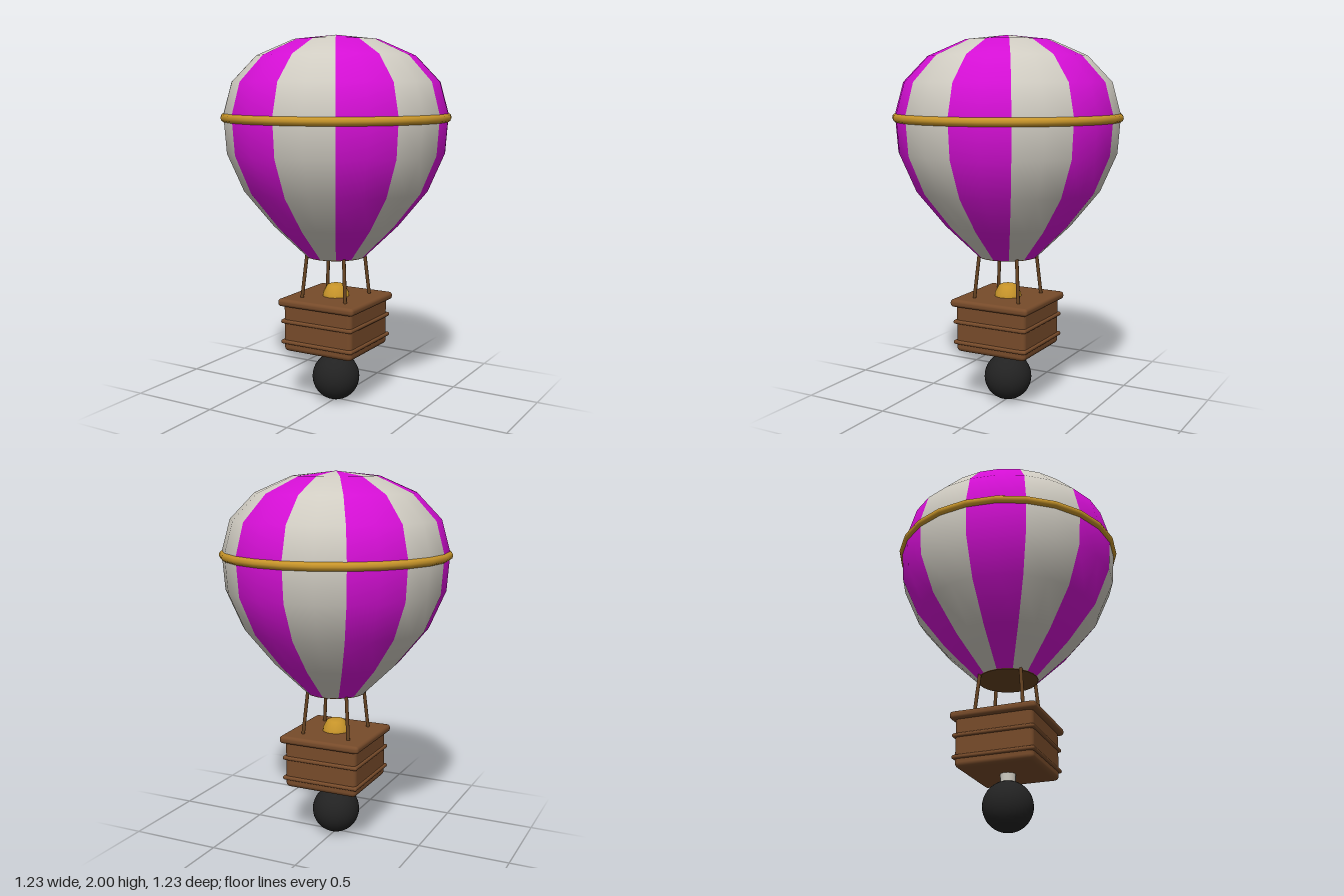
import * as THREE from 'three';
import { RoundedBoxGeometry } from 'three/addons/geometries/RoundedBoxGeometry.js';

const paint = (name, color) => {
  const m = new THREE.MeshStandardMaterial({ color });
  m.name = name;
  return m;
};

export function createModel() {
  const magenta = paint('magenta', 0xd40fd4);
  const cream = paint('cream', 0xd0ccc2);
  const gold = paint('gold', 0xc8952a);
  const wicker = paint('wicker brown', 0x774b2a);
  const rope = paint('rope brown', 0x664322);
  const black = paint('black', 0x222222);

  const model = new THREE.Group();
  model.name = 'hotAirBalloon';
  const add = (name, geometry, material, x = 0, y = 0, z = 0, parent = model) => {
    const mesh = new THREE.Mesh(geometry, material);
    mesh.name = name;
    mesh.position.set(x, y, z);
    parent.add(mesh);
    return mesh;
  };
  const points = (list) => list.map(([r, y]) => new THREE.Vector2(r, y));

  // Envelope: twelve gores in alternating colours
  const envelope = new THREE.Group();
  envelope.name = 'envelope';
  model.add(envelope);
  const profile = points([
    [0.165, 0.82], [0.345, 0.995], [0.5, 1.185], [0.587, 1.385], [0.602, 1.585],
    [0.555, 1.755], [0.425, 1.89], [0.23, 1.975], [0, 2],
  ]);
  const step = Math.PI / 6;
  for (let i = 0; i < 12; i++) {
    add(`gore${i + 1}`, new THREE.LatheGeometry(profile, 2, i * step, step),
      i % 2 ? magenta : cream, 0, 0, 0, envelope);
  }

  // Closed mouth and gold belt
  add('mouth', new THREE.CylinderGeometry(0.166, 0.163, 0.008, 24), rope, 0, 0.82, 0);
  const belt = add('belt', new THREE.TorusGeometry(0.594, 0.023, 10, 24), gold, 0, 1.57, 0);
  belt.rotation.x = Math.PI / 2;

  // Basket with two bands and a wide lid
  const basket = new THREE.Group();
  basket.name = 'basket';
  model.add(basket);
  const slab = (name, width, height, radius, y) =>
    add(name, new RoundedBoxGeometry(width, height, width, 3, radius), wicker, 0, y, 0, basket);
  slab('basketBody', 0.422, 0.28, 0.025, 0.438);
  slab('lowerBand', 0.442, 0.022, 0.01, 0.352);
  slab('upperBand', 0.442, 0.022, 0.01, 0.466);
  slab('basketRim', 0.468, 0.042, 0.018, 0.572);

  // Ropes from the mouth to the basket corners
  for (const sx of [-1, 1]) {
    for (const sz of [-1, 1]) {
      const path = new THREE.LineCurve3(
        new THREE.Vector3(sx * 0.136, 0.58, sz * 0.136),
        new THREE.Vector3(sx * 0.114, 0.84, sz * 0.114));
      add('rope', new THREE.TubeGeometry(path, 1, 0.01, 8), rope);
    }
  }

  // Burner on the lid
  add('burner', new THREE.LatheGeometry(points([
    [0.074, 0.585], [0.073, 0.608], [0.05, 0.652], [0.035, 0.658], [0, 0.658],
  ]), 16), gold);

  // Round weight hung below the basket
  add('weightCollar', new THREE.CylinderGeometry(0.04, 0.04, 0.055, 16), cream, 0, 0.2755, 0);
  add('weight', new THREE.SphereGeometry(0.131, 32, 20), black, 0, 0.131, 0);

  return model;
}
